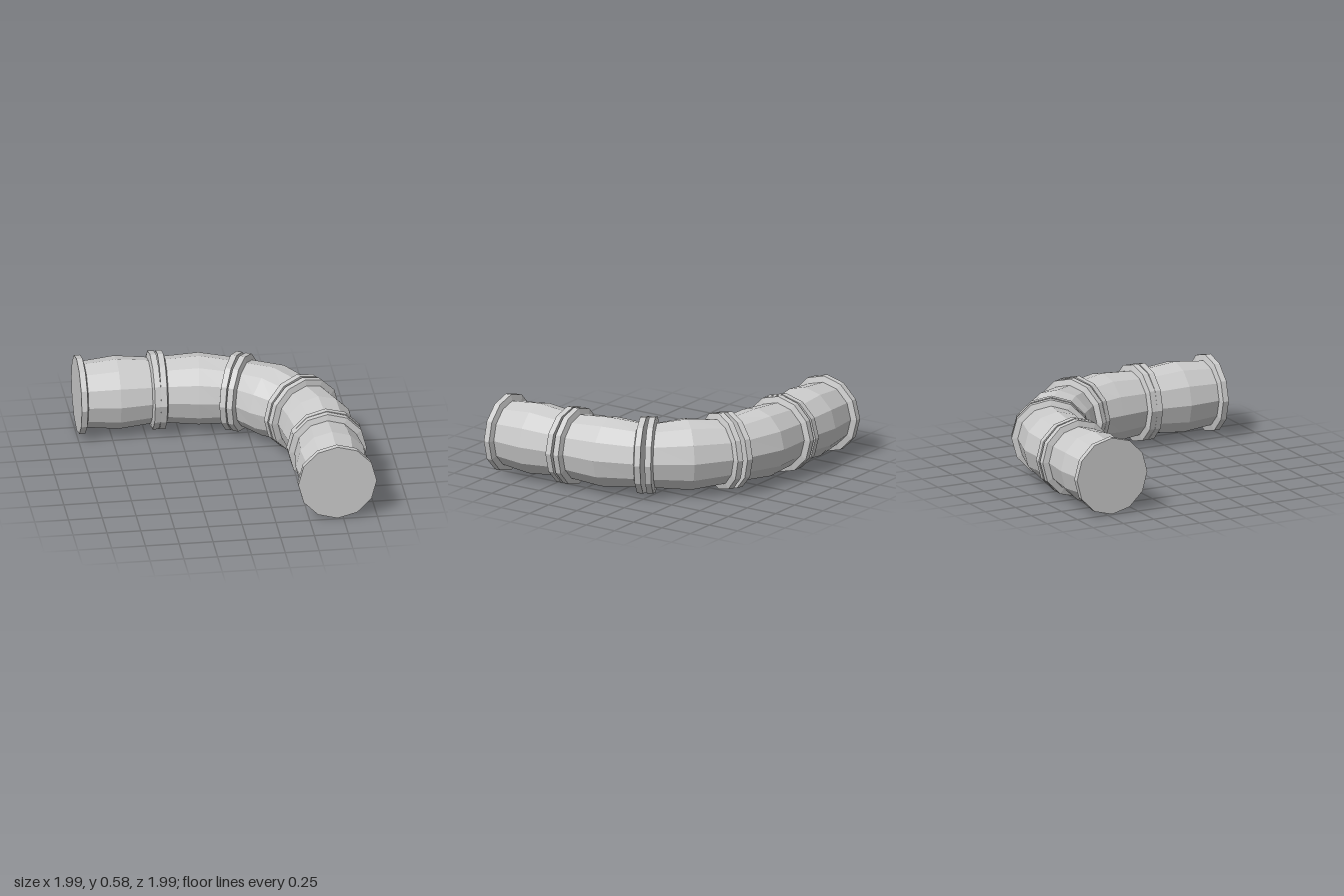
import * as THREE from 'three';

const SIDES = 12, HEIGHT = 0.293;
const RIM = 0.29, NECK = 0.245;

// A frame is a station on the centre line: x, z and heading in degrees (0 = +x, 90 = +z)
const frame = (x, z, deg) => ({ x, z, deg });
const mirror = f => frame(-f.z, -f.x, 90 - f.deg);

// Moves a frame along its own heading
function slide(f, d) {
  const a = THREE.MathUtils.degToRad(f.deg);
  return frame(f.x + d * Math.cos(a), f.z + d * Math.sin(a), f.deg);
}

// Faceted skin through [frame, radius] rings; zero radius closes an end
function loft(rings) {
  const point = (i, j) => {
    const [f, r] = rings[i];
    const a = THREE.MathUtils.degToRad(f.deg);
    const t = (j % SIDES) / SIDES * Math.PI * 2;
    const out = r * Math.cos(t);
    return [f.x + out * Math.sin(a), HEIGHT + r * Math.sin(t), f.z - out * Math.cos(a)];
  };
  const pos = [];
  for (let i = 0; i < rings.length - 1; i++) {
    for (let j = 0; j < SIDES; j++) {
      const a = point(i, j), b = point(i, j + 1), c = point(i + 1, j + 1), d = point(i + 1, j);
      if (rings[i][1] > 0) pos.push(...a, ...b, ...(rings[i + 1][1] > 0 ? c : d));
      if (rings[i + 1][1] > 0) pos.push(...a, ...c, ...d);
    }
  }
  const g = new THREE.BufferGeometry();
  g.setAttribute('position', new THREE.Float32BufferAttribute(pos, 3));
  g.computeVertexNormals();
  return g;
}

export function createModel() {
  const group = new THREE.Group();
  const material = new THREE.MeshStandardMaterial({ color: 0xcccccc, flatShading: true });

  // Capped segment: end flange, bulging barrel, end flange
  function addSegment(name, [start, middle, end], bulge) {
    const mesh = new THREE.Mesh(loft([
      [start, 0], [start, RIM], [slide(start, 0.045), RIM], [slide(start, 0.057), NECK],
      [middle, bulge],
      [slide(end, -0.057), NECK], [slide(end, -0.045), RIM], [end, RIM], [end, 0],
    ]), material);
    mesh.name = name;
    group.add(mesh);
  }

  const straight = [frame(-0.99, -0.707, 0), frame(-0.695, -0.707, 0), frame(-0.402, -0.707, 0)];
  const bend = [frame(-0.392, -0.707, 2), frame(-0.09, -0.688, 7), frame(0.18, -0.605, 24.5)];
  const cornerStart = frame(0.197, -0.592, 27);
  const flip = s => s.map(mirror).reverse();

  // The run is symmetric about its corner
  addSegment('backStraightPipe', straight, 0.27);
  addSegment('backBendPipe', bend, 0.265);
  addSegment('cornerPipe', [cornerStart, frame(0.42, -0.42, 45), mirror(cornerStart)], 0.27);
  addSegment('frontBendPipe', flip(bend), 0.265);
  addSegment('frontStraightPipe', flip(straight), 0.27);

  return group;
}
